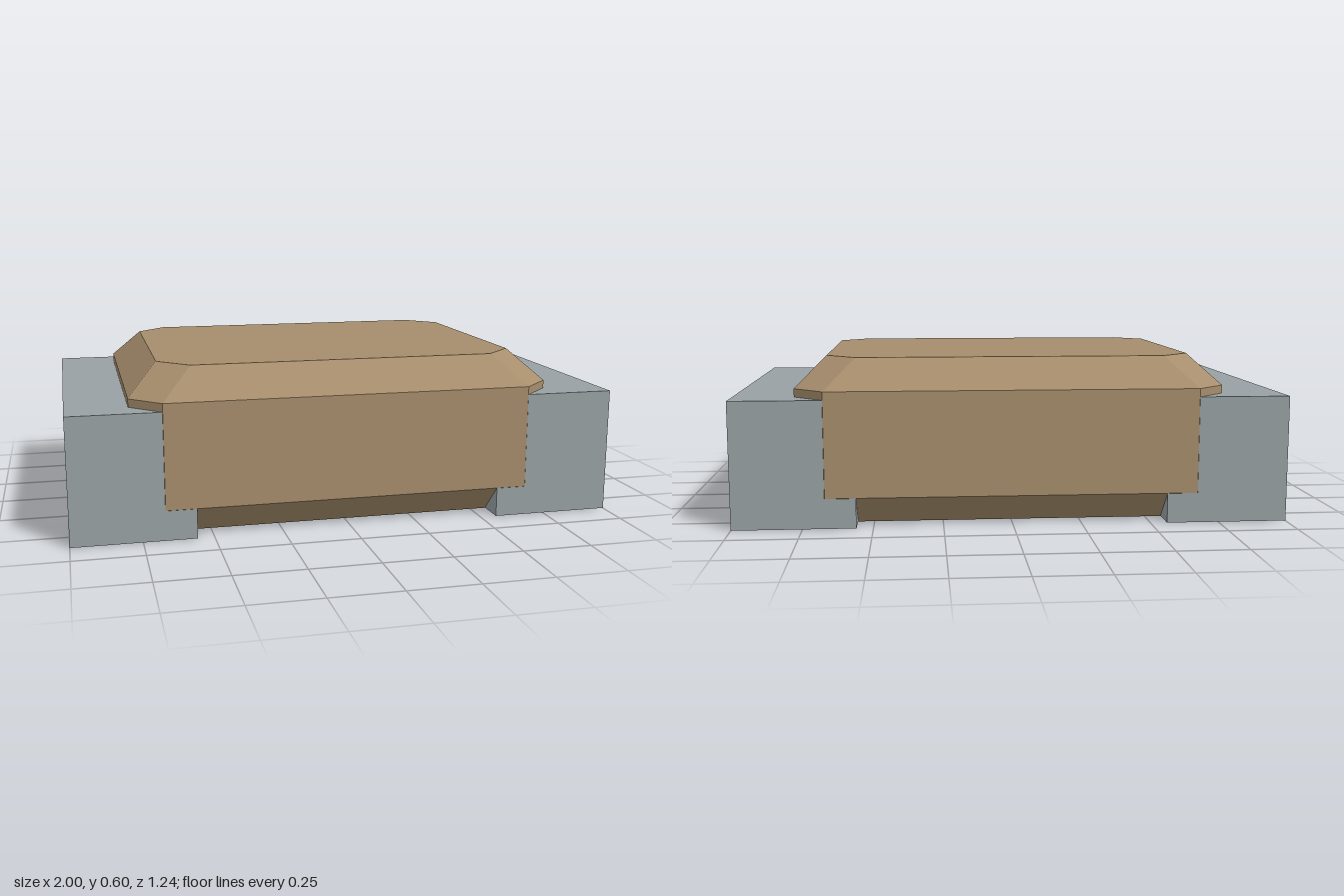
import * as THREE from 'three';

const CUT = 0.11; // width of every chamfer

// Rectangle with cut corners at height y, counter-clockwise seen from above
function octagon(hx, hz, y) {
  return [
    [hx, hz - CUT], [hx, CUT - hz], [hx - CUT, -hz], [CUT - hx, -hz],
    [-hx, CUT - hz], [-hx, hz - CUT], [CUT - hx, hz], [hx - CUT, hz],
  ].map(([x, z]) => new THREE.Vector3(x, y, z));
}

// Joins rings from bottom to top and caps both ends, with flat faces
function loft(rings) {
  const points = [];
  const n = rings[0].length;
  for (let r = 0; r < rings.length - 1; r++) {
    const lower = rings[r], upper = rings[r + 1];
    for (let i = 0; i < n; i++) {
      const j = (i + 1) % n;
      points.push(lower[i], lower[j], upper[j], lower[i], upper[j], upper[i]);
    }
  }
  const bottom = rings[0], top = rings[rings.length - 1];
  for (let i = 1; i < n - 1; i++) {
    points.push(top[0], top[i], top[i + 1]);
    points.push(bottom[0], bottom[i + 1], bottom[i]);
  }
  const geometry = new THREE.BufferGeometry().setFromPoints(points);
  geometry.computeVertexNormals();
  return geometry;
}

export function createModel() {
  const group = new THREE.Group();
  group.name = 'chipComponent';
  const tan = new THREE.MeshStandardMaterial({ color: 0xa68d6c });
  tan.name = 'tan ceramic';
  const grey = new THREE.MeshStandardMaterial({ color: 0x98a1a4 });
  grey.name = 'grey metal';

  // Chamfered body
  const hx = 0.78, hz = 0.62;
  const body = new THREE.Mesh(loft([
    octagon(hx - CUT, hz - CUT, 0),
    octagon(hx, hz, CUT),
    octagon(hx, hz, 0.49),
    octagon(hx - CUT, hz - CUT, 0.6),
  ]), tan);
  body.name = 'body';
  group.add(body);

  // End terminals, a hair inside the body's front, back and bottom faces
  const gap = 0.001;
  for (const side of [-1, 1]) {
    const terminal = new THREE.Mesh(new THREE.BoxGeometry(0.44, 0.46 - gap, 2 * (hz - gap)), grey);
    terminal.name = side > 0 ? 'leftTerminal' : 'rightTerminal';
    terminal.position.set(side * 0.78, (0.46 + gap) / 2, 0);
    group.add(terminal);
  }
  return group;
}
